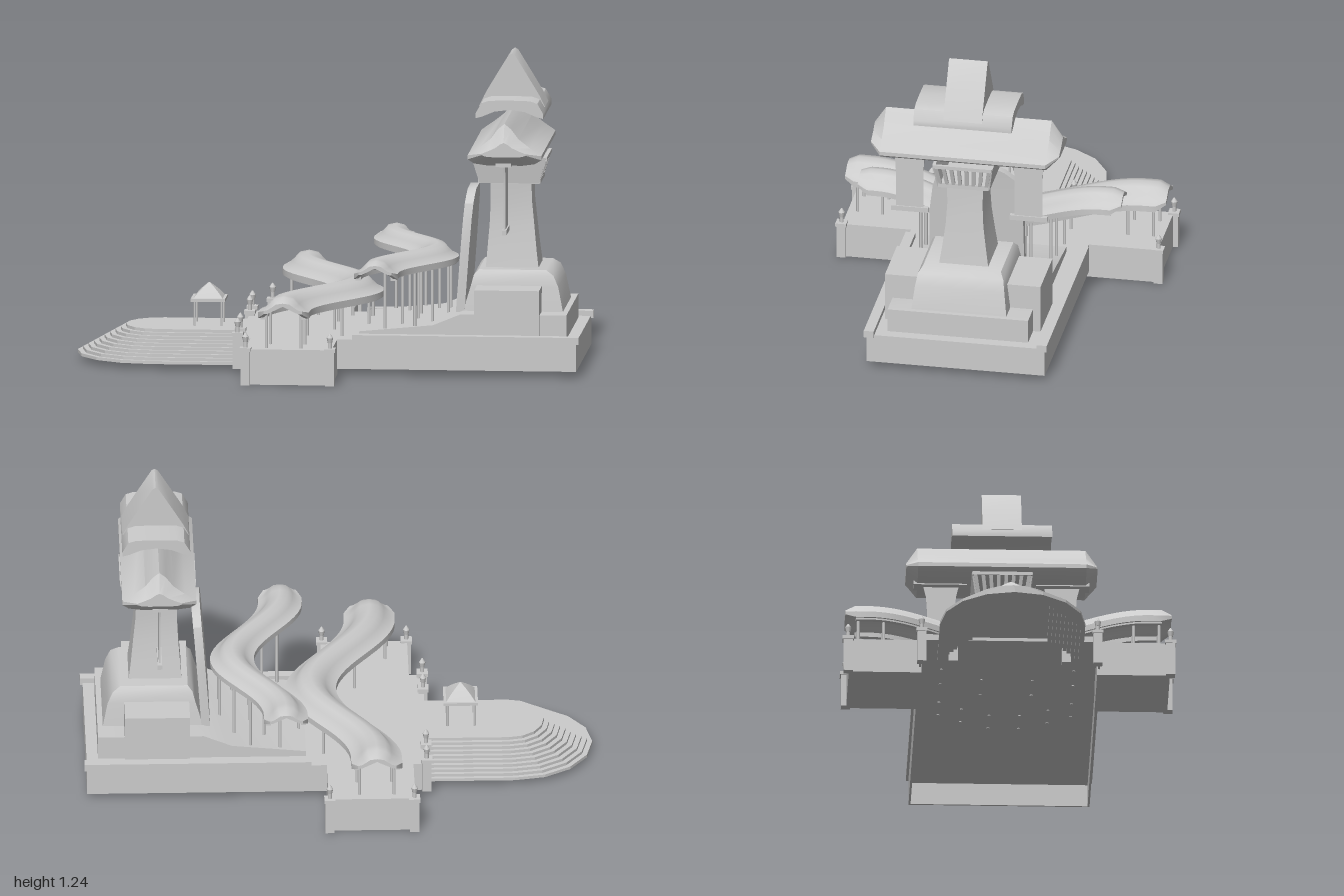
import * as THREE from 'three';
import { toCreasedNormals } from 'three/addons/utils/BufferGeometryUtils.js';

const grey = new THREE.MeshStandardMaterial({ color: 0xcccccc, side: THREE.DoubleSide });

export function createModel() {
  const model = new THREE.Group();

  const add = (name, geometry, x = 0, y = 0, z = 0) => {
    const mesh = new THREE.Mesh(geometry, grey);
    mesh.name = name;
    mesh.position.set(x, y, z);
    model.add(mesh);
    return mesh;
  };
  // Box given by its limits on each axis
  const block = (name, x0, x1, y0, y1, z0, z1) =>
    add(name, new THREE.BoxGeometry(x1 - x0, y1 - y0, z1 - z0), (x0 + x1) / 2, (y0 + y1) / 2, (z0 + z1) / 2);
  const rod = (name, x, z, y0, y1, r = 0.006, rTop = r) =>
    add(name, new THREE.CylinderGeometry(rTop, r, y1 - y0, 8), x, (y0 + y1) / 2, z);

  // Closed skin over equal-length rings of [x, y, z]
  const loft = (rings, crease = 0.6) => {
    const n = rings[0].length, index = [], last = (rings.length - 1) * n;
    for (let i = 0; i < rings.length - 1; i++) {
      for (let j = 0; j < n; j++) {
        const a = i * n + j, b = i * n + (j + 1) % n;
        index.push(a, b, b + n, a, b + n, a + n);
      }
    }
    for (let j = 1; j < n - 1; j++) index.push(0, j + 1, j, last, last + j, last + j + 1);
    const g = new THREE.BufferGeometry();
    g.setAttribute('position', new THREE.Float32BufferAttribute(rings.flat(2), 3));
    g.setIndex(index);
    return toCreasedNormals(g, crease);
  };
  const rect = (cx, hx, cz, hz, y) =>
    [[cx - hx, y, cz + hz], [cx + hx, y, cz + hz], [cx + hx, y, cz - hz], [cx - hx, y, cz - hz]];
  // Right half of a section, from underside centre to ridge, mirrored to a full loop
  const mirrored = half => [...half, ...half.slice(1, -1).reverse().map(([x, y]) => [-x, y])];
  // Extrude an (x, y) outline evenly across z
  const slabAcross = (points, halfZ) => {
    const shape = new THREE.Shape(points.map(p => new THREE.Vector2(...p)));
    const g = new THREE.ExtrudeGeometry(shape, { depth: halfZ * 2, bevelEnabled: false });
    return toCreasedNormals(g.translate(0, 0, -halfZ), 0.6);
  };

  // Main base, open beneath, with rims and a raised platform with its ramp
  block('baseDeck', -0.345, 0.99, 0.115, 0.14, -0.355, 0.355);
  block('baseBackWall', 0.982, 0.99, 0.024, 0.115, -0.355, 0.355);
  for (const s of [-1, 1]) {
    add('baseSideWall', new THREE.BoxGeometry(1.335, 0.091, 0.008), 0.3225, 0.0695, s * 0.351);
    add('baseRim', new THREE.BoxGeometry(0.89, 0.028, 0.04), 0.555, 0.146, s * 0.345);
    add('terraceWing', new THREE.BoxGeometry(0.34, 0.14, 0.285), -0.12, 0.07, s * 0.487);
  }
  add('platform', slabAcross([[0.13, 0.13], [0.945, 0.13], [0.945, 0.235], [0.53, 0.235],
    [0.42, 0.19], [0.13, 0.162]], 0.28));
  block('plinthBlock', 0.585, 0.84, 0.14, 0.335, -0.31, 0.31);

  // Rounded stairs: U-shaped rings stacked up to a top landing
  const steps = 9;
  const stairOutline = t => {
    const halfZ = 0.285 - 0.135 * t, reach = 0.31 - 0.17 * t;
    const pts = [[-0.345, halfZ]];
    for (let i = 0; i <= 8; i++) {
      const a = Math.PI / 2 + Math.PI * i / 8;
      pts.push([-0.69 + 0.02 * t + reach * Math.cos(a), halfZ * Math.sin(a)]);
    }
    pts.push([-0.345, -halfZ]);
    return pts;
  };
  for (let i = 0; i <= steps; i++) {
    const outline = stairOutline(i / steps);
    if (i < steps) outline.push(...stairOutline((i + 1.2) / steps).reverse());
    const shape = new THREE.Shape(outline.map(p => new THREE.Vector2(...p)));
    const h = 0.118 / (steps + 1);
    const g = new THREE.ExtrudeGeometry(shape, { depth: h, bevelEnabled: false });
    add(i < steps ? 'stairStep' : 'stairLanding', g.rotateX(-Math.PI / 2), 0, 0.022 + i * h, 0);
  }

  // Small pavilion on the landing
  for (const sx of [-1, 1]) for (const sz of [-1, 1]) {
    rod('pavilionPost', -0.483 + sx * 0.053, sz * 0.053, 0.14, 0.24, 0.004);
  }
  add('pavilionEave', new THREE.BoxGeometry(0.135, 0.012, 0.135), -0.483, 0.243, 0);
  add('pavilionRoof', loft([[0.058, 0.248], [0.04, 0.27], [0.022, 0.288], [0.002, 0.306]]
    .map(([h, y]) => rect(-0.483, h, 0, h, y)), 0.3));

  // Corner posts with lanterns
  const lampPost = (x, z, y0, top) => {
    block('lampPost', x - 0.018, x + 0.018, y0, top, z - 0.018, z + 0.018);
    block('lampPostCap', x - 0.022, x + 0.022, top - 0.014, top, z - 0.022, z + 0.022);
    rod('lampStem', x, z, top, top + 0.022, 0.008);
    rod('lanternGlass', x, z, top + 0.022, top + 0.042, 0.009, 0.013);
    rod('lanternTop', x, z, top + 0.042, top + 0.058, 0.013, 0.003);
  };
  for (const s of [-1, 1]) {
    lampPost(-0.287, s * 0.632, 0, 0.148);
    lampPost(0.045, s * 0.632, 0, 0.148);
    lampPost(-0.342, s * 0.345, 0.02, 0.162);
    lampPost(-0.342, s * 0.222, 0.02, 0.162);
  }

  // Winding canopies with rounded crowns and flared eaves, on posts
  const canopySection = mirrored([[0, 0.06], [0.032, 0.053], [0.058, 0.024], [0.08, 0.002], [0.1, 0], [0.1, 0.024],
    [0.08, 0.032], [0.058, 0.053], [0.036, 0.077], [0, 0.085]]);
  const canopy = (xEnd, swing, reach, zEnd, y, scale, postZ) => {
    const pathX = z => xEnd + swing * (0.5 + 0.5 * Math.cos(Math.PI * Math.min(1, Math.abs(z) / reach)));
    const rings = [], rails = [[], []], n = 32;
    const ring = (z, sx, sy, lift) => rings.push(
      canopySection.map(([px, py]) => [pathX(z) + px * scale * sx, y + lift + py * scale * sy, z]));
    ring(-zEnd, 0.75, 0.5, 0.022);
    for (let i = 0; i <= n; i++) {
      const z = (zEnd - 0.04) * (2 * i / n - 1);
      ring(z, 1, 1, 0);
      rails.forEach((rail, k) => {
        const x = pathX(z) + (k ? 1 : -1) * 0.08 * scale;
        rail.push([[x - 0.01, y - 0.006, z], [x + 0.01, y - 0.006, z], [x + 0.01, y + 0.015, z], [x - 0.01, y + 0.015, z]]);
      });
    }
    ring(zEnd, 0.75, 0.5, 0.022);
    add('canopyRoof', loft(rings, 0.8));
    rails.forEach(rail => add('canopyRail', loft(rail)));
    for (const z of postZ) for (const s of [-1, 1]) for (const k of [-1, 1]) {
      rod('canopyPost', pathX(z) + k * 0.068 * scale, s * z, 0.112, y + 0.012);
    }
  };
  canopy(-0.14, 0.245, 0.55, 0.64, 0.26, 1, [0.59, 0.49, 0.26, 0.1]);
  canopy(0.213, 0.2, 0.45, 0.525, 0.402, 0.86, [0.26, 0.17, 0.06]);

  // Leaning arched screen in front of the tower
  add('screen', loft([[0.52, 0.19, 0.23], [0.538, 0.187, 0.48], [0.547, 0.172, 0.6], [0.552, 0.155, 0.655],
    [0.555, 0.115, 0.685], [0.557, 0.07, 0.703]].map(([x, hz, y]) => rect(x, 0.017, 0, hz, y))));

  // Tower pedestal and flared shaft
  add('towerPedestal', loft([[0.53, 0.925, 0.19, 0.23], [0.56, 0.905, 0.178, 0.33],
    [0.572, 0.885, 0.17, 0.375], [0.59, 0.855, 0.155, 0.395]]
    .map(([a, b, hz, y]) => rect((a + b) / 2, (b - a) / 2, 0, hz, y))));
  add('towerShaft', loft([[0.612, 0.822, 0.1, 0.38], [0.618, 0.812, 0.088, 0.46], [0.626, 0.802, 0.075, 0.56],
    [0.63, 0.793, 0.07, 0.65], [0.63, 0.79, 0.073, 0.735]]
    .map(([a, b, hz, y]) => rect((a + b) / 2, (b - a) / 2, 0, hz, y))));

  // Balcony: floor, solid flanks, slatted ends and rims
  const bx = 0.706;
  block('balconyFloor', 0.588, 0.824, 0.728, 0.742, -0.1, 0.1);
  for (const s of [-1, 1]) {
    add('balconyFlank', loft([rect(bx, 0.118, s * 0.098, 0.006, 0.73), rect(bx, 0.144, s * 0.114, 0.006, 0.835)]));
    add('balconyRim', new THREE.BoxGeometry(0.012, 0.014, 0.236), bx + s * 0.143, 0.829, 0);
    add('balconyLowerRail', new THREE.BoxGeometry(0.012, 0.02, 0.2), bx + s * 0.117, 0.74, 0);
    for (let i = 0; i < 8; i++) {
      const t = (i - 3.5) / 3.5;
      add('balconySlat', loft([rect(bx + s * 0.115, 0.005, t * 0.09, 0.007, 0.735),
        rect(bx + s * 0.143, 0.005, t * 0.106, 0.007, 0.828)]));
    }
    // Thin hanging side panel
    add('hangingPanel', loft([[0.055, 0.565], [0.055, 0.73], [0.059, 0.79], [0.07, 0.835]]
      .map(([hz, y]) => rect(0.703, 0.0035, s * 0.237, hz, y))));
    add('hangingPanelFoot', new THREE.BoxGeometry(0.018, 0.02, 0.148), 0.703, 0.564, s * 0.237);
    add('hangingPanelHead', new THREE.BoxGeometry(0.06, 0.015, 0.21), 0.703, 0.838, s * 0.24);
  }

  // Lower tower roof with tapered ends
  const roofSection = mirrored([[0, 0.835], [0.07, 0.835], [0.12, 0.842], [0.145, 0.858], [0.145, 0.874],
    [0.1, 0.905], [0.055, 0.94], [0.025, 0.98], [0, 1.0]]);
  add('lowerTowerRoof', loft([[-0.375, 0.6, 0.35], [-0.33, 1, 1], [0.33, 1, 1], [0.375, 0.6, 0.35]]
    .map(([z, sx, sy]) => roofSection.map(([x, y]) => [bx + x * sx, 0.895 + (y - 0.895) * sy, z]))));

  // Upper tower roof: arched slab with a steep central gable
  add('upperRoofSlab', slabAcross(mirrored([[0, 1.035], [0.06, 1.027], [0.105, 1.008], [0.133, 1.0],
    [0.133, 1.02], [0.11, 1.06], [0.08, 1.07], [0, 1.072]]).map(([x, y]) => [0.714 + x, y]), 0.196));
  add('upperRoofGable', slabAcross(mirrored([[0, 1.04], [0.122, 1.03], [0.13, 1.03], [0.108, 1.075], [0.075, 1.13],
    [0.012, 1.233], [0, 1.24]]).map(([x, y]) => [0.714 + x, y]), 0.077));

  return model;
}
